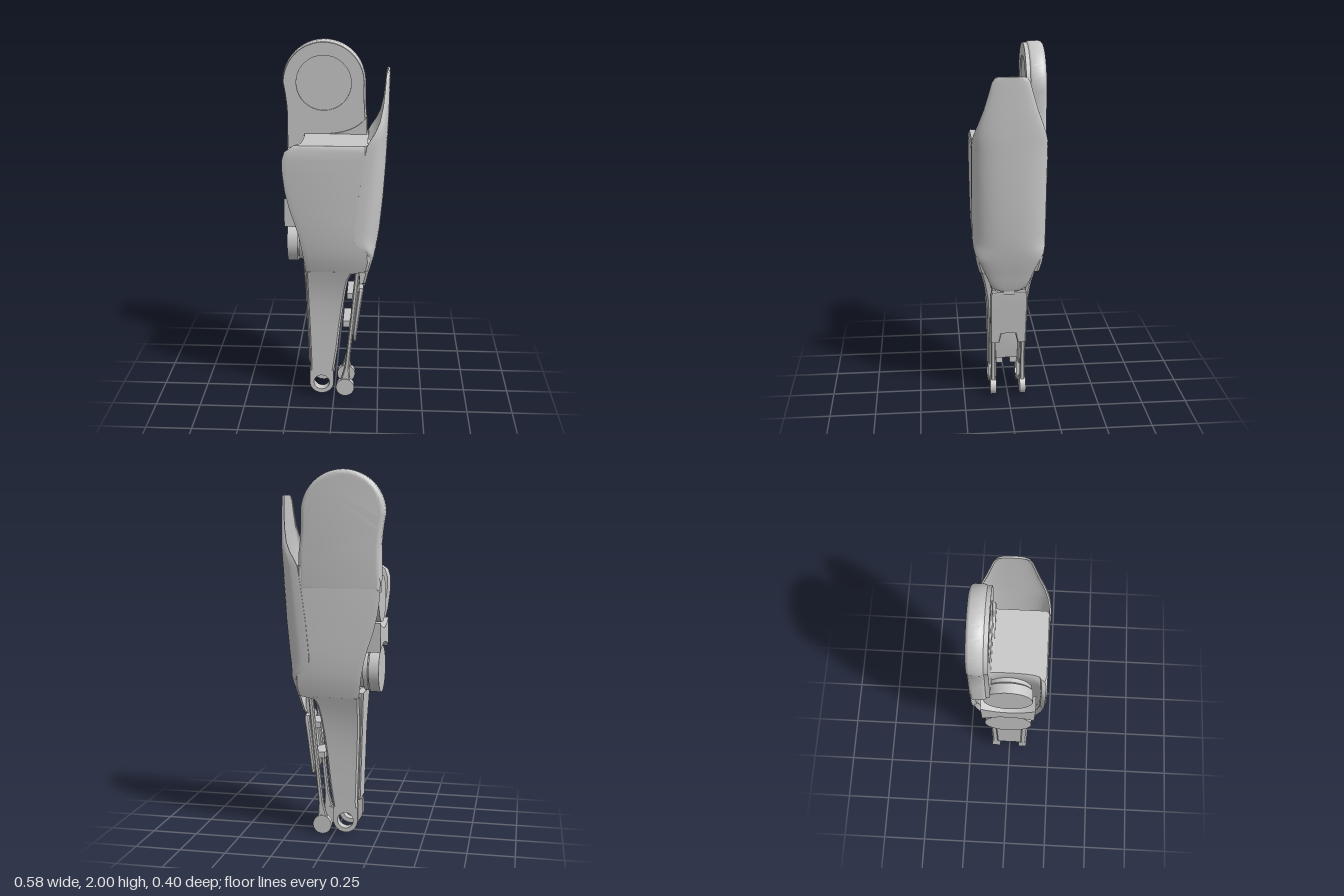
import * as THREE from 'three';
import { toCreasedNormals } from 'three/addons/utils/BufferGeometryUtils.js';

const grey = new THREE.MeshStandardMaterial({ color: 0xc8c8c8 });
grey.name = 'light grey';

// Closed solid through cross-sections, listed bottom to top: { y, pts: [x, -z] counterclockwise }
function loft(rows) {
  const n = rows[0].pts.length, pos = [], idx = [];
  rows.forEach(({ y, pts }) => pts.forEach(([x, w]) => pos.push(x, y, -w)));
  for (let i = 0; i < rows.length - 1; i++) {
    for (let j = 0; j < n; j++) {
      const a = i * n + j, b = i * n + (j + 1) % n;
      idx.push(a, b, a + n, b, b + n, a + n);
    }
  }
  const cap = (row, base, flip) => {
    const contour = row.pts.map(([x, w]) => new THREE.Vector2(x, w));
    for (const [a, b, c] of THREE.ShapeUtils.triangulateShape(contour, [])) {
      idx.push(base + a, base + (flip ? c : b), base + (flip ? b : c));
    }
  };
  cap(rows[0], 0, true);
  cap(rows[rows.length - 1], (rows.length - 1) * n, false);
  const g = new THREE.BufferGeometry();
  g.setAttribute('position', new THREE.Float32BufferAttribute(pos, 3));
  g.setIndex(idx);
  return toCreasedNormals(g.toNonIndexed(), 0.6);
}

// Rectangular section with small chamfers
function boxRow(y, x0, x1, z0, z1, c = 0.006) {
  const a = -z1, b = -z0;
  return { y, pts: [[x1 - c, a], [x1, a + c], [x1, b - c], [x1 - c, b], [x0 + c, b], [x0, b - c], [x0, a + c], [x0 + c, a]] };
}

// Body section: closed towards +x, hollowed towards -x
function bodyRow([y, xl, xr, hz, dent]) {
  const r = 0.014, hollow = [];
  for (let k = 0; k <= 12; k++) {
    const t = Math.PI * k / 12;
    hollow.push([xl + 0.015 + (dent - xl - 0.015) * Math.pow(Math.max(0, Math.sin(t)), 0.6), (hz - 0.03) * Math.cos(t)]);
  }
  return { y, pts: [[xr - r, -hz], [xr, -hz + r], [xr, hz - r], [xr - r, hz], [xl + 0.03, hz], [xl, hz - 0.008],
    ...hollow, [xl, -hz + 0.008], [xl + 0.03, -hz]] };
}

// Curved shell section, open towards -x
function shieldRow([y, xi, xo, hz]) {
  const arc = (x0, x1, h) => Array.from({ length: 21 }, (_, k) => {
    const t = -Math.PI / 2 + Math.PI * k / 20, s = Math.sin(t);
    return [x0 + (x1 - x0) * Math.pow(Math.max(0, Math.cos(t)), 0.65), h * Math.sign(s) * Math.pow(Math.abs(s), 0.75)];
  });
  return { y, pts: [...arc(xi, xo, hz), ...arc(xi, xo - 0.012, hz - 0.01).reverse()] };
}

function lobeShape(inset) {
  const s = new THREE.Shape(), r = 0.225 - inset;
  s.moveTo(-0.27 + inset, 1.39);
  s.lineTo(0.172 - inset, 1.39);
  s.lineTo(0.17 - inset, 1.57);
  s.quadraticCurveTo(0.158 - inset, 1.64, -0.065 + r, 1.775);
  s.absarc(-0.065, 1.775, r, 0, Math.PI, false);
  s.quadraticCurveTo(-0.265 + inset, 1.65, -0.27 + inset, 1.55);
  return s;
}

export function createModel() {
  const model = new THREE.Group();
  const add = (name, geo, x = 0, y = 0, z = 0) => {
    const m = new THREE.Mesh(geo, grey);
    m.name = name;
    m.position.set(x, y, z);
    model.add(m);
  };
  const extrude = (shape, depth) =>
    toCreasedNormals(new THREE.ExtrudeGeometry(shape, { depth, bevelEnabled: false, curveSegments: 32 }), 0.6);

  // Main body: y, left edge, right edge, half depth, hollow depth
  add('body', loft([
    [0.775, -0.15, 0.1, 0.156, -0.115], [0.795, -0.152, 0.185, 0.162, -0.115], [0.85, -0.16, 0.198, 0.176, -0.11],
    [0.91, -0.168, 0.195, 0.187, -0.11], [1.0, -0.185, 0.18, 0.193, -0.11], [1.07, -0.205, 0.175, 0.195, -0.115],
    [1.15, -0.232, 0.175, 0.195, -0.125], [1.25, -0.256, 0.175, 0.196, -0.14], [1.35, -0.268, 0.177, 0.196, -0.155],
    [1.42, -0.269, 0.178, 0.196, -0.165], [1.465, -0.255, 0.178, 0.196, -0.17], [1.49, -0.22, 0.178, 0.194, -0.168],
    [1.5, -0.205, 0.178, 0.189, -0.166],
  ].map(bodyRow)));

  // Round upper lobe with a shallow circular recess
  const lobe = new THREE.ExtrudeGeometry(lobeShape(0.026), {
    depth: 0.041, bevelThickness: 0.026, bevelSize: 0.026, bevelSegments: 5, curveSegments: 32,
  });
  add('upperLobe', toCreasedNormals(lobe, 0.6), 0, 0, -0.171);
  const face = lobeShape(0.008);
  face.holes.push(new THREE.Path().absarc(-0.065, 1.775, 0.148, 0, Math.PI * 2, true));
  add('lobeFace', extrude(face, 0.025), 0, 0, -0.115);
  add('lobeRecess', new THREE.CircleGeometry(0.15, 40), -0.065, 1.775, -0.098);

  // Fillet where the lobe meets the body top
  const fillet = new THREE.Shape();
  fillet.moveTo(-0.06, 1.49);
  fillet.lineTo(0.17, 1.49);
  fillet.lineTo(0.17, 1.6);
  fillet.quadraticCurveTo(0.11, 1.505, -0.06, 1.5);
  add('lobeFillet', extrude(fillet, 0.014), 0, 0, -0.094);

  // Outer shield: y, inner edge, outer crest, half depth
  add('shield', loft([
    [0.68, 0.155, 0.172, 0.06], [0.7, 0.16, 0.18, 0.095], [0.75, 0.17, 0.19, 0.115], [0.8, 0.178, 0.204, 0.135],
    [0.86, 0.188, 0.22, 0.162], [0.905, 0.185, 0.229, 0.185], [0.94, 0.145, 0.236, 0.195], [0.97, 0.115, 0.241, 0.198],
    [1.02, 0.112, 0.248, 0.2], [1.2, 0.13, 0.265, 0.2], [1.4, 0.157, 0.277, 0.2], [1.5, 0.174, 0.281, 0.199],
    [1.53, 0.19, 0.283, 0.196], [1.57, 0.216, 0.284, 0.186], [1.62, 0.239, 0.286, 0.168], [1.7, 0.256, 0.288, 0.138],
    [1.78, 0.264, 0.289, 0.114], [1.84, 0.268, 0.29, 0.097], [1.865, 0.272, 0.29, 0.08], [1.87, 0.274, 0.29, 0.065],
  ].map(shieldRow)));
  for (const z of [-0.14, 0.135]) {
    add('shieldPeg', new THREE.SphereGeometry(0.02, 16, 10), 0.175, 1.44, z);
  }

  // Two round motors in the hollow
  const drum = (name, r, x0, x1, y) => {
    const g = new THREE.CylinderGeometry(r, r, x1 - x0, 40);
    g.rotateZ(Math.PI / 2);
    add(name, g, (x0 + x1) / 2, y, 0);
  };
  for (const y of [1.315, 0.93]) {
    drum('motorBase', 0.105, -0.2, -0.09, y);
    drum('motorCollar', 0.118, -0.19, -0.165, y);
    drum('motorCap', 0.127, -0.253, -0.198, y);
  }

  // Bracket between the motors, bowed across the hollow
  const strap = new THREE.Shape();
  strap.moveTo(-0.14, 1.04);
  strap.quadraticCurveTo(0, 1.12, 0.14, 1.04);
  strap.lineTo(0.145, 1.2);
  strap.quadraticCurveTo(0, 1.12, -0.145, 1.2);
  const strapGeo = extrude(strap, 0.085);
  strapGeo.rotateY(-Math.PI / 2);
  add('motorBracket', strapGeo, -0.18, 0, 0);

  // Fork legs, eyelets and rods, mirrored front to back
  const legProfile = [[0.15, -0.138, -0.004, 0.107], [0.2, -0.135, 0.005, 0.107], [0.3, -0.138, 0.02, 0.108],
    [0.45, -0.143, 0.036, 0.11], [0.58, -0.148, 0.053, 0.117], [0.68, -0.15, 0.068, 0.132],
    [0.74, -0.151, 0.08, 0.147], [0.79, -0.152, 0.105, 0.161]];
  const rodProfile = [[0.08, 0.03, 0.093], [0.13, 0.046, 0.088], [0.18, 0.059, 0.086], [0.25, 0.067, 0.092],
    [0.5, 0.092, 0.116], [0.84, 0.122, 0.148]];
  const eye = new THREE.Shape();
  eye.moveTo(-0.004, 0.165);
  eye.lineTo(-0.138, 0.165);
  eye.lineTo(-0.138, 0.09);
  eye.absarc(-0.07, 0.09, 0.068, Math.PI, Math.PI * 2, false);
  eye.holes.push(new THREE.Path().absarc(-0.07, 0.09, 0.044, 0, Math.PI * 2, true));
  const eyeGeo = extrude(eye, 0.05);
  for (const s of [1, -1]) {
    const span = (a, b) => (s > 0 ? [a, b] : [-b, -a]);
    add('forkLeg', loft(legProfile.map(([y, a, b, h]) => boxRow(y, a, b, ...span(h - 0.045, h), 0.01))));
    add('legEyelet', eyeGeo, 0, 0, s > 0 ? 0.057 : -0.107);
    add('linkRod', loft(rodProfile.map(([y, a, b]) => boxRow(y, a, b, ...span(0.07, 0.096)))));
    const pad = new THREE.CylinderGeometry(0.052, 0.052, 0.034, 32);
    pad.rotateX(Math.PI / 2);
    add('rodEnd', pad, 0.063, 0.055, s * 0.084);
    add('webTab', new THREE.BoxGeometry(0.08, 0.08, 0.04), -0.065, 0.19, s * 0.04);
    add('panelFoot', loft([boxRow(0.35, 0.108, 0.124, ...span(0.05, 0.1)), boxRow(0.42, 0.105, 0.132, ...span(0.035, 0.1))]));
    // Side flange joining the calf panel to the rod
    add('panelFlange', loft([boxRow(0.44, 0.095, 0.125, ...span(0.06, 0.09)), boxRow(0.64, 0.112, 0.15, ...span(0.06, 0.09))]));
  }

  // Shin web and its cover
  add('shinWeb', loft([boxRow(0.19, -0.125, -0.01, -0.07, 0.07), boxRow(0.36, -0.128, 0.02, -0.07, 0.07),
    boxRow(0.5, -0.13, 0.02, -0.07, 0.07), boxRow(0.8, -0.135, 0.05, -0.12, 0.12)]));
  add('shinCover', loft([boxRow(0.2, -0.146, -0.12, -0.075, 0.075), boxRow(0.6, -0.158, -0.125, -0.08, 0.08),
    boxRow(0.81, -0.168, -0.13, -0.11, 0.11)]));

  // Calf panel with crossbars to the rods
  add('calfPanel', loft([boxRow(0.41, 0.107, 0.131, -0.1, 0.1), boxRow(0.55, 0.122, 0.148, -0.103, 0.103),
    boxRow(0.65, 0.135, 0.162, -0.103, 0.103), boxRow(0.67, 0.137, 0.163, -0.095, 0.095)]));
  for (const [x, y] of [[0.085, 0.45], [0.107, 0.62]]) {
    add('panelCrossbar', new THREE.BoxGeometry(0.07, 0.035, 0.18), x, y, 0);
  }
  add('panelHinge', new THREE.BoxGeometry(0.03, 0.12, 0.06), 0.155, 0.72, 0);
  return model;
}
